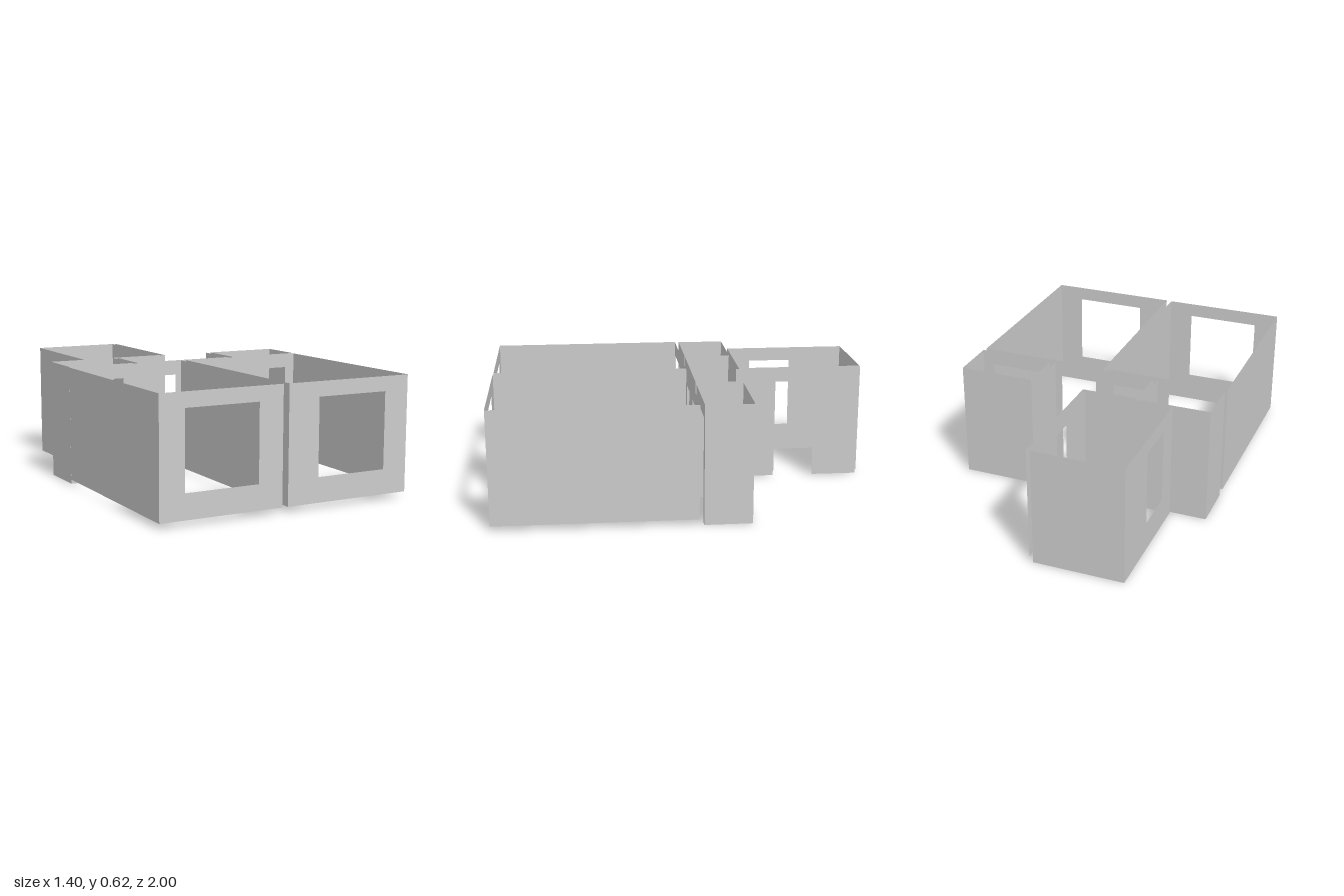
import * as THREE from 'three';

const TOP = 0.62, HEAD = 0.545, SILL = 0.155;
const material = new THREE.MeshStandardMaterial({ color: 0xcccccc, side: THREE.DoubleSide, flatShading: true });

// Upright sheet between plan points a and b ([x, z]).
// Openings are [from, to] along the wall's main axis (x or z).
function wall(name, a, b, base, { doors = [], windows = [] } = {}) {
  const dx = b[0] - a[0], dz = b[1] - a[1], length = Math.hypot(dx, dz);
  const axis = Math.abs(dx) > Math.abs(dz) ? 0 : 1;
  const along = (span) => span
    .map((v) => (v - a[axis]) / (b[axis] - a[axis]) * length)
    .sort((p, q) => p - q);

  // Outline with a notch for each door
  const shape = new THREE.Shape();
  shape.moveTo(0, base);
  doors.map(along).sort((p, q) => p[0] - q[0]).forEach(([s, e]) => {
    shape.lineTo(s, base);
    shape.lineTo(s, HEAD);
    shape.lineTo(e, HEAD);
    shape.lineTo(e, base);
  });
  shape.lineTo(length, base);
  shape.lineTo(length, TOP);
  shape.lineTo(0, TOP);
  shape.closePath();

  windows.map(along).forEach(([s, e]) => {
    const hole = new THREE.Path();
    hole.moveTo(s, SILL);
    hole.lineTo(s, HEAD);
    hole.lineTo(e, HEAD);
    hole.lineTo(e, SILL);
    hole.closePath();
    shape.holes.push(hole);
  });

  const mesh = new THREE.Mesh(new THREE.ShapeGeometry(shape), material);
  mesh.name = name;
  mesh.position.set(a[0], 0, a[1]);
  mesh.rotation.y = -Math.atan2(dz, dx);
  return mesh;
}

// Run of walls through plan points; openings are keyed by wall index.
function room(name, points, base, openings = {}, closed = true) {
  const group = new THREE.Group();
  group.name = name;
  const count = closed ? points.length : points.length - 1;
  for (let i = 0; i < count; i++) {
    group.add(wall(`${name}Wall${i + 1}`, points[i], points[(i + 1) % points.length], base, openings[i]));
  }
  return group;
}

export function createModel() {
  const model = new THREE.Group();
  model.name = 'floorPlanWalls';
  const raised = 0.028;

  // Door spans shared by the two faces of the cross wall
  const smallLeftDoor = [-0.645, -0.385], hallDoorA = [-0.285, -0.075];
  const hallDoorB = [0.015, 0.222], smallRightDoor = [0.32, 0.63];

  model.add(
    // Two large front rooms: front wall, side, back wall, side
    room('frontRoomA', [[-0.67, 1], [-0.02, 0.983], [-0.05, -0.048], [-0.70, -0.03]], raised, {
      0: { windows: [[-0.54, -0.15]] },
      2: { doors: [smallLeftDoor, hallDoorA] },
    }),
    room('frontRoomB', [[0.01, 0.985], [0.70, 0.968], [0.672, -0.065], [-0.02, -0.048]], raised, {
      0: { windows: [[0.18, 0.565]] },
      2: { doors: [hallDoorB, smallRightDoor] },
    }),
    // Small rooms behind the cross wall
    room('smallRoomA', [[-0.692, -0.052], [-0.33, -0.062], [-0.337, -0.315], [-0.70, -0.305]], 0, {
      0: { doors: [smallLeftDoor] },
    }),
    room('smallRoomB', [[0.28, -0.078], [0.678, -0.088], [0.67, -0.333], [0.272, -0.323]], 0, {
      0: { doors: [smallRightDoor] },
    }),
    // Rear room
    room('rearRoom', [[-0.508, -0.322], [-0.04, -0.335], [-0.055, -1], [-0.526, -0.985]], 0, {
      1: { doors: [[-0.535, -0.755]] },
      3: { windows: [[-0.685, -0.452]] },
    }),
    // Hall lining, open at the rear
    room('hall', [[0.243, -0.322], [0.25, -0.077], [-0.305, -0.063], [-0.312, -0.308], [-0.02, -0.318], [-0.035, -1]], raised, {
      1: { doors: [hallDoorA, hallDoorB] },
      4: { doors: [[-0.535, -0.755]] },
    }, false),
  );
  return model;
}
